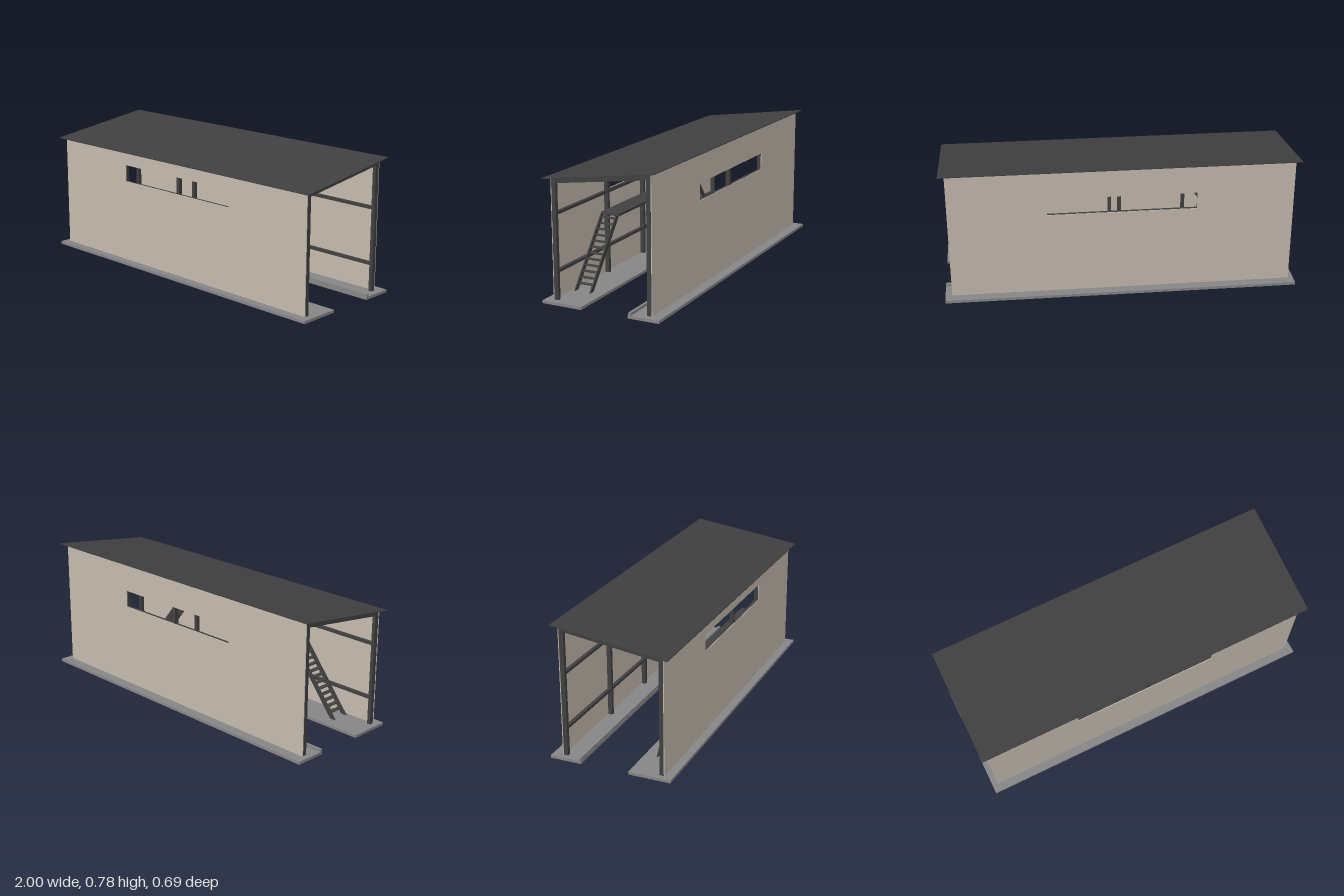
import * as THREE from 'three';

const mat = (name, color) => {
  const m = new THREE.MeshStandardMaterial({ color });
  m.name = name;
  return m;
};

export function createModel() {
  const wallMat = mat('beige cladding', 0xc3baad);
  const steelMat = mat('dark steel', 0x404040);
  const roofMat = mat('dark roof sheet', 0x3f3f3f);
  const slabMat = mat('grey concrete', 0x858585);
  const model = new THREE.Group();
  model.name = 'shelter';

  const add = (parent, name, geo, material) => {
    const m = new THREE.Mesh(geo, material);
    m.name = name;
    parent.add(m);
    return m;
  };
  const group = (name) => {
    const g = new THREE.Group();
    g.name = name;
    model.add(g);
    return g;
  };
  // box given by its limits on each axis
  const box = (parent, name, x0, x1, y0, y1, z0, z1, material) =>
    add(parent, name, new THREE.BoxGeometry(x1 - x0, y1 - y0, z1 - z0), material)
      .position.set((x0 + x1) / 2, (y0 + y1) / 2, (z0 + z1) / 2);
  const shapeOf = (pts) => new THREE.Shape(pts.map(([a, b]) => new THREE.Vector2(a, b)));
  const extrude = (shape, depth) => new THREE.ExtrudeGeometry(shape, { depth, bevelEnabled: false });
  // prism with a (z, y) outline running from x0 to x1
  const prismX = (parent, name, pts, x0, x1, material) =>
    add(parent, name, extrude(shapeOf(pts), x1 - x0).rotateY(-Math.PI / 2).translate(x1, 0, 0), material);

  // height of the roof underside at depth z
  const roofY = (z) => 0.7285 - 0.1357 * z;

  // floor strips and the kerb
  const floor = group('floor');
  box(floor, 'frontSlab', -1, 1, 0.01, 0.026, 0.11, 0.348, slabMat);
  box(floor, 'backSlab', -1, 1, 0.01, 0.026, -0.345, -0.166, slabMat);
  box(floor, 'kerb', -1, 1, 0.026, 0.041, -0.183, -0.168, slabMat);

  // walls with a long window opening
  const wall = (name, z, top) => {
    const s = shapeOf([[-0.97, 0.009], [0.962, 0.009], [0.962, top], [-0.97, top]]);
    s.holes.push(new THREE.Path([[-0.422, 0.505], [-0.422, 0.602], [0.415, 0.602], [0.415, 0.505]]
      .map(([a, b]) => new THREE.Vector2(a, b))));
    add(model, name, extrude(s, 0.004), wallMat).position.z = z;
  };
  wall('frontWall', 0.2975, roofY(0.3));
  wall('backWall', -0.2875, roofY(-0.285));

  // portal frames: a post on each side and a sloping rafter
  const frame = group('frame');
  const xs = [-0.958, -0.435, 0.014, 0.425, 0.952];
  const post = (name, x, z0, z1) => prismX(frame, name,
    [[z0, 0], [z1, 0], [z1, roofY(z1)], [z0, roofY(z0)]], x - 0.01, x + 0.01, steelMat);
  for (const x of xs) {
    post('frontPost', x, 0.273, 0.297);
    post('backPost', x, -0.283, -0.258);
    prismX(frame, 'rafter', [[-0.258, 0.732], [0.273, 0.66], [0.273, 0.685], [-0.258, 0.757]],
      x - 0.008, x + 0.008, steelMat);
  }

  // wall rails between the posts
  for (const y of [0.18, 0.495]) {
    box(frame, 'frontRail', xs[0], xs[4], y - 0.008, y + 0.008, 0.278, 0.297, steelMat);
    box(frame, 'backRail', xs[0], xs[4], y - 0.008, y + 0.008, -0.283, -0.263, steelMat);
  }

  // single pitched roof
  prismX(model, 'roof', [[-0.318, roofY(-0.318)], [0.334, roofY(0.334)],
    [0.334, roofY(0.334) + 0.004], [-0.318, roofY(-0.318) + 0.004]], -1, 0.997, roofMat);

  // raised walkway with a stair at each end
  const walkway = group('walkway');
  box(walkway, 'deck', -0.51, 0.51, 0.386, 0.4, 0.16, 0.273, steelMat);
  const stringerPts = [[0.762, 0.026], [0.797, 0.026], [0.507, 0.387], [0.472, 0.387]];
  for (const side of [-1, 1]) {
    const stair = group(side > 0 ? 'leftStair' : 'rightStair');
    for (const z of [0.178, 0.273]) {
      const pts = stringerPts.map(([x, y]) => [x * side, y]);
      add(stair, 'stringer', extrude(shapeOf(pts), 0.007), steelMat).position.z = z;
    }
    for (let i = 0; i < 12; i++) {
      const y = 0.06 + i * 0.0281;
      const x = side * (0.7795 - (y - 0.026) * 0.803);
      box(stair, 'tread', x - 0.014, x + 0.014, y - 0.002, y + 0.002, 0.184, 0.274, steelMat);
    }
  }
  return model;
}
